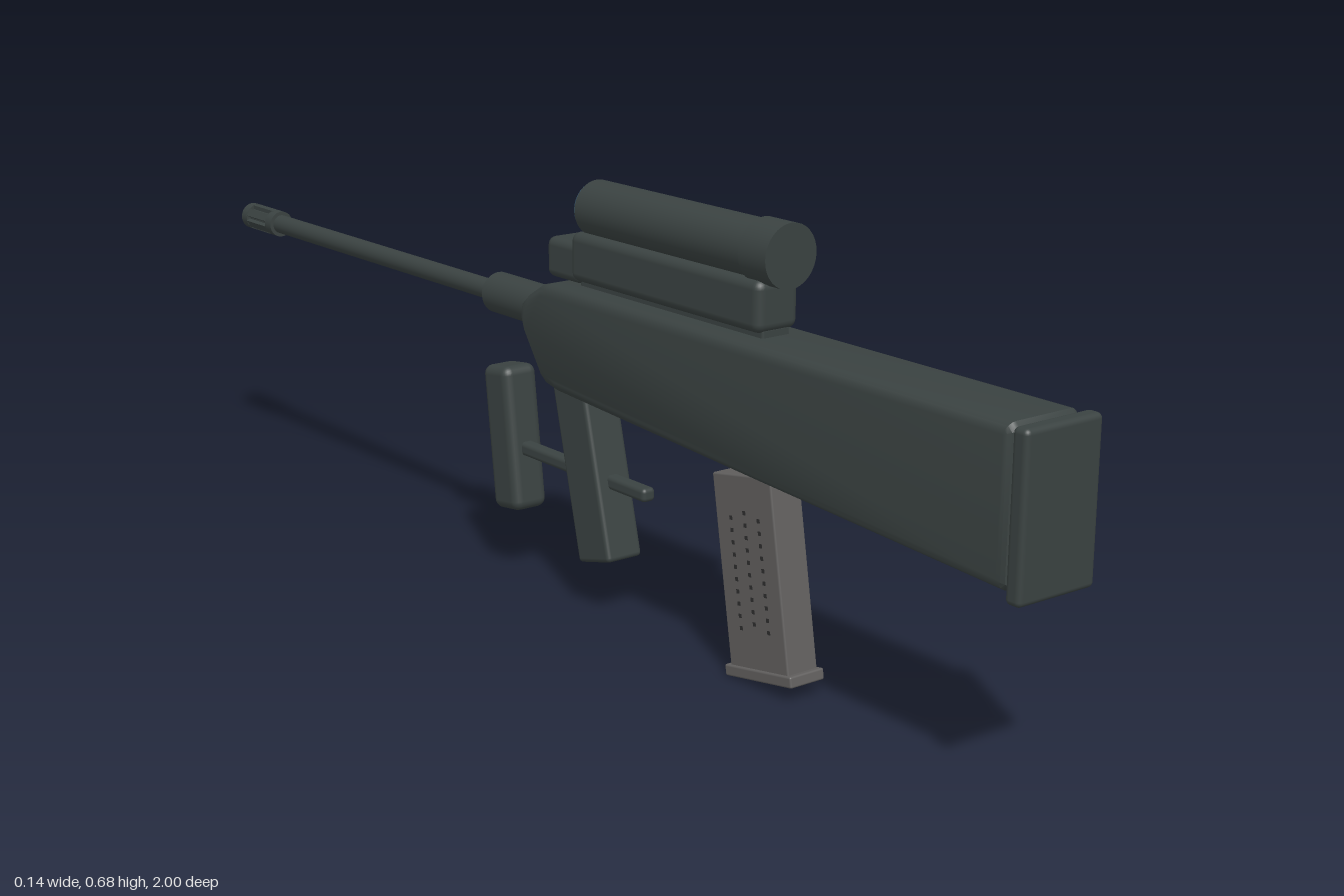
import * as THREE from 'three';
import { RoundedBoxGeometry } from 'three/addons/geometries/RoundedBoxGeometry.js';
import { toCreasedNormals } from 'three/addons/utils/BufferGeometryUtils.js';

function material(name, color) {
  const m = new THREE.MeshStandardMaterial({ color });
  m.name = name;
  return m;
}

export function createModel() {
  const root = new THREE.Group();
  root.name = 'model';
  const dark = material('dark slate', 0x3a4241);
  const grey = material('warm grey', 0x615f5e);
  const black = material('hole black', 0x2e2d2d);
  const blue = material('lens blue', 0x35566f);

  function add(name, geometry, mat, x, y, z, parent = root) {
    const mesh = new THREE.Mesh(geometry, mat);
    mesh.name = name;
    mesh.position.set(x, y, z);
    parent.add(mesh);
    return mesh;
  }
  function box(name, mat, size, pos, radius, parent = root) {
    return add(name, new RoundedBoxGeometry(...size, 3, radius), mat, ...pos, parent);
  }
  // Cylinder running along z between two depths
  function tube(name, mat, radius, z0, z1, y, backRadius = radius) {
    const g = new THREE.CylinderGeometry(radius, backRadius, Math.abs(z1 - z0), 32);
    g.rotateX(Math.PI / 2);
    return add(name, g, mat, 0, y, (z0 + z1) / 2);
  }
  function tilted(name, y, z, angle) {
    const g = new THREE.Group();
    g.name = name;
    g.position.set(0, y, z);
    g.rotation.x = angle;
    root.add(g);
    return g;
  }

  // Body: side profile (z, y) extruded across the width with rounded edges
  const profile = new THREE.Shape([
    [0.972, 0.305], [0.962, 0.296], [0.5, 0.322], [0.03, 0.35], [0.003, 0.356], [-0.012, 0.367],
    [-0.056, 0.43], [-0.064, 0.452], [-0.06, 0.474], [-0.045, 0.488], [-0.01, 0.51], [0.01, 0.515],
    [0.962, 0.515], [0.972, 0.505],
  ].map(([z, y]) => new THREE.Vector2(z, y)));
  const bevel = 0.016, halfWidth = 0.065;
  let body = new THREE.ExtrudeGeometry(profile, {
    depth: 2 * (halfWidth - bevel), bevelEnabled: true, bevelSize: bevel,
    bevelThickness: bevel, bevelOffset: -bevel, bevelSegments: 4,
  });
  body.translate(0, 0, -(halfWidth - bevel));
  body.rotateY(-Math.PI / 2);
  body = toCreasedNormals(body, 0.6);
  add('body', body, dark, 0, 0, 0);
  box('endPlate', dark, [0.138, 0.23, 0.026], [0, 0.4, 0.987], 0.008);

  // Long tube and its sleeve
  const axisY = 0.455;
  tube('sleeve', dark, 0.033, -0.205, -0.03, axisY);
  tube('sleeveTip', dark, 0.028, -0.213, -0.205, axisY);
  tube('longTube', dark, 0.0165, -0.985, -0.2, axisY);

  // Ribbed tip
  tube('tipCollar', dark, 0.023, -0.915, -0.895, axisY);
  tube('tipRing', dark, 0.023, -1, -0.982, axisY);
  for (let i = 0; i < 6; i++) {
    const a = (i / 6) * Math.PI * 2;
    const rib = add('tipRib', new THREE.BoxGeometry(0.014, 0.008, 0.075), dark,
      Math.sin(a) * 0.018, axisY + Math.cos(a) * 0.018, -0.949);
    rib.rotation.z = -a;
  }

  // Rail, mount and sight on top
  box('rail', dark, [0.05, 0.02, 0.42], [0, 0.518, 0.255], 0.004);
  box('mount', dark, [0.077, 0.076, 0.435], [0, 0.56, 0.2525], 0.014);
  box('frontBlock', dark, [0.07, 0.063, 0.085], [0, 0.549, 0.0125], 0.013);
  const sightY = 0.633;
  tube('sightTube', dark, 0.043, 0.055, 0.44, sightY);
  tube('sightCap', dark, 0.047, 0.435, 0.492, sightY);
  tube('lens', blue, 0.04, 0.05, 0.056, sightY);

  // Slanted grey box with hole rows on both sides
  const mag = tilted('magazine', 0.0125, 0.478, -0.17);
  box('magazineBase', grey, [0.064, 0.017, 0.144], [0, 0.0085, 0], 0.003, mag);
  box('magazineBody', grey, [0.056, 0.288, 0.126], [0, 0.157, 0], 0.003, mag);
  for (const side of [-1, 1]) {
    for (let col = -1; col <= 1; col++) {
      for (let row = 0; row < 10; row++) {
        add('hole', new THREE.BoxGeometry(0.001, 0.006, 0.006), black,
          side * 0.028, 0.075 + row * 0.018 + (col === 0 ? 0.009 : 0), col * 0.03, mag);
      }
    }
  }

  // Rear grip, front grip and the rod joining them
  const rear = tilted('rearGrip', 0.225, 0.055, -0.25);
  box('rearGripBody', dark, [0.066, 0.29, 0.08], [0, 0, 0], 0.007, rear);
  const front = tilted('frontGrip', 0.225, -0.163, -0.13);
  box('frontGripBody', dark, [0.064, 0.236, 0.068], [0, 0, 0], 0.015, front);
  box('rod', dark, [0.024, 0.022, 0.34], [0, 0.212, 0.017], 0.007);

  return root;
}
